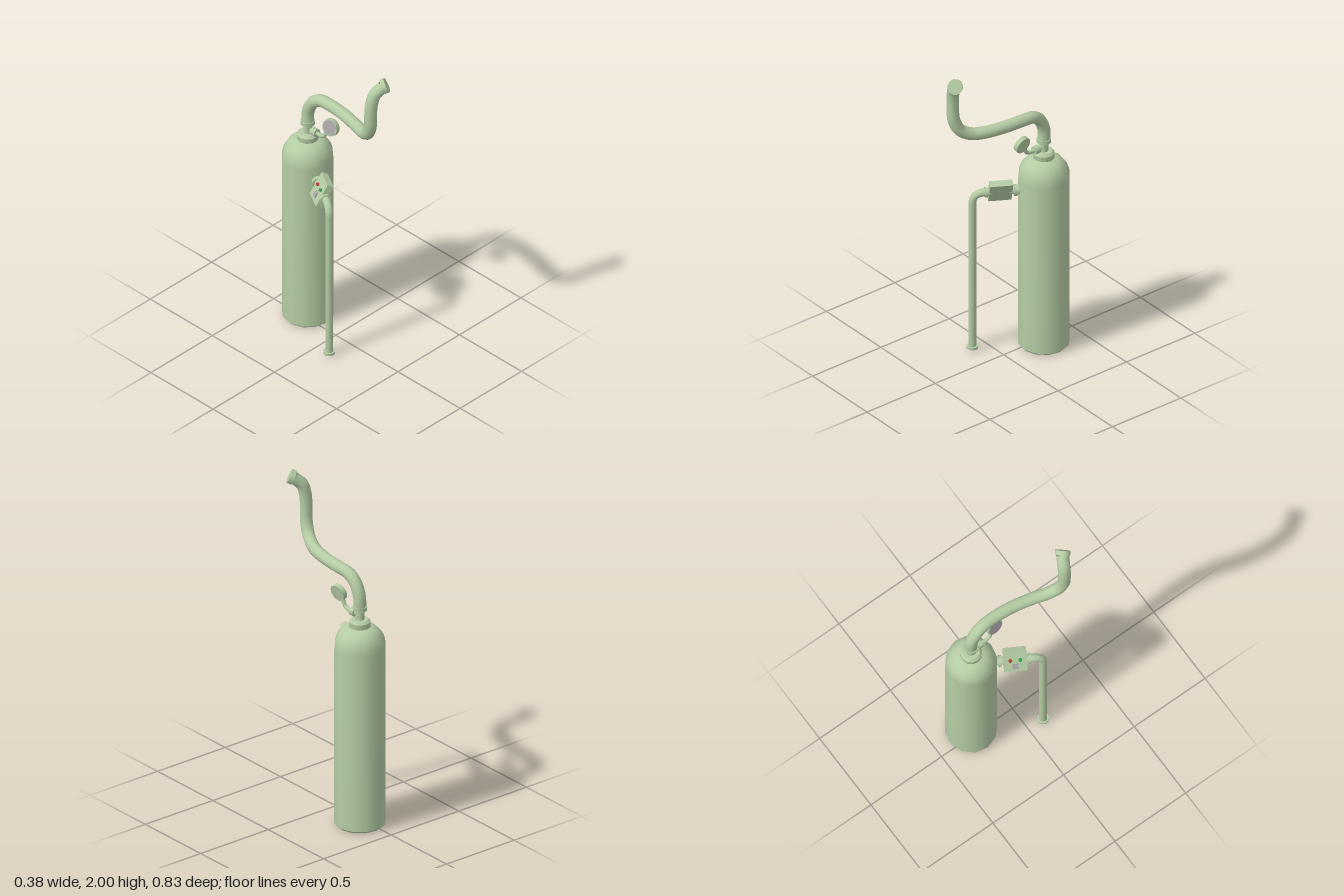
import * as THREE from 'three';
import { toCreasedNormals } from 'three/addons/utils/BufferGeometryUtils.js';

const V = (x, y, z) => new THREE.Vector3(x, y, z);
const paint = (color) => new THREE.MeshStandardMaterial({ color, side: THREE.DoubleSide });

export function createModel() {
  const root = new THREE.Group();
  const green = paint(0xb4cca4), grey = paint(0xaba3a8), red = paint(0xc8383c), lime = paint(0x2fae45);

  function add(name, geometry, material = green, parent = root) {
    const mesh = new THREE.Mesh(geometry, material);
    mesh.name = name;
    parent.add(mesh);
    return mesh;
  }
  // Turned part from [radius, height] pairs, standing at x, z
  function turned(name, pts, x, z, sides = 12) {
    const profile = pts.map(([r, y]) => new THREE.Vector2(r, y));
    const mesh = add(name, toCreasedNormals(new THREE.LatheGeometry(profile, sides), 0.65));
    mesh.position.set(x, 0, z);
    mesh.rotation.y = 0.06;
    return mesh;
  }
  // Closed cylinder centred on a point, with its axis along dir
  function disc(name, r, length, centre, dir, material = green, parent = root, sides = 12) {
    const mesh = add(name, new THREE.CylinderGeometry(r, r, length, sides), material, parent);
    mesh.position.copy(centre);
    mesh.quaternion.setFromUnitVectors(V(0, 1, 0), dir.clone().normalize());
    return mesh;
  }
  const tube = (name, curve, r, steps) => add(name, new THREE.TubeGeometry(curve, steps, r, 12));

  // Tank with domed shoulder
  const tx = 0.038, tz = -0.264;
  const tankPts = [[0, 0], [0.14, 0], [0.151, 0.012], [0.151, 1.12]];
  for (let i = 1; i <= 5; i++) {
    const a = (i / 5) * 1.2;
    tankPts.push([0.051 + 0.1 * Math.cos(a), 1.12 + 0.132 * Math.sin(a)]);
  }
  tankPts.push([0.05, 1.255], [0, 1.255]);
  turned('tank', tankPts, tx, tz);
  turned('neckCollar', [[0, 1.235], [0.056, 1.24], [0.063, 1.25], [0.063, 1.282], [0.05, 1.295], [0, 1.295]], tx, tz);
  turned('valveStem', [[0, 1.28], [0.026, 1.28], [0.026, 1.37], [0, 1.37]], tx, tz);
  turned('hoseCollar', [[0, 1.352], [0.042, 1.352], [0.042, 1.376], [0, 1.376]], tx, tz);

  // Hose: up, over to the front, up again and out to the nozzle
  const tip = V(0.022, 1.957, 0.372), tipDir = V(0.68, 0.42, 0.6).normalize();
  const hose = new THREE.CatmullRomCurve3([
    V(tx, 1.365, tz), V(tx + 0.002, 1.44, -0.262), V(0.043, 1.515, -0.228), V(0.048, 1.555, -0.175),
    V(0.05, 1.563, -0.1), V(0.04, 1.563, 0.03), V(0.012, 1.563, 0.16), V(-0.012, 1.572, 0.23),
    V(-0.035, 1.61, 0.292), V(-0.048, 1.68, 0.325), V(-0.052, 1.76, 0.331), V(-0.048, 1.84, 0.334),
    V(-0.03, 1.905, 0.342), tip.clone().addScaledVector(tipDir, -0.01),
  ]);
  tube('hose', hose, 0.037, 64);
  disc('hoseNozzle', 0.045, 0.026, tip, tipDir);

  // Pressure gauge on a bent feed pipe
  tube('gaugePipe', new THREE.CatmullRomCurve3([
    V(tx, 1.32, tz), V(tx, 1.32, -0.2), V(tx, 1.32, -0.155), V(0.04, 1.332, -0.133), V(0.046, 1.375, -0.115),
  ]), 0.012, 24);
  disc('gaugeFitting', 0.025, 0.035, V(tx, 1.32, -0.208), V(0, 0, 1));
  const gaugeDir = V(-1, 0.24, 0.1).normalize(), gaugeAt = V(0.053, 1.405, -0.092);
  disc('gaugeBody', 0.052, 0.028, gaugeAt, gaugeDir, green, root, 16);
  disc('gaugeFace', 0.046, 0.004, gaugeAt.clone().addScaledVector(gaugeDir, 0.014), gaugeDir, grey, root, 16);

  // Line running out from the tank through the control box
  const out = V(-0.5, 0, 0.866), boxAt = V(-0.077, 1.055, -0.037);
  const along = (s, y = 1.05) => V(boxAt.x + out.x * s, y, boxAt.z + out.z * s);

  // Control box leaning back, local z is the panel normal
  const box = new THREE.Group();
  box.name = 'controlBox';
  const lean = 0.47, panel = V(-0.866, 0, -0.5);
  const normal = panel.clone().multiplyScalar(Math.cos(lean)).add(V(0, Math.sin(lean), 0));
  const up = panel.clone().multiplyScalar(-Math.sin(lean)).add(V(0, Math.cos(lean), 0));
  box.quaternion.setFromRotationMatrix(new THREE.Matrix4().makeBasis(up.clone().cross(normal), up, normal));
  box.position.copy(boxAt);
  root.add(box);
  add('boxBody', new THREE.BoxGeometry(0.134, 0.154, 0.041), green, box);
  add('display', new THREE.BoxGeometry(0.034, 0.036, 0.012), grey, box).position.set(0, -0.036, 0.021);
  // The panel's local x runs along the pipe line
  const side = Math.sign(up.clone().cross(normal).dot(out));
  disc('redButton', 0.01, 0.016, V(-0.029 * side, 0.014, 0.024), V(0, 0, 1), red, box, 8);
  disc('greenButton', 0.01, 0.016, V(0.029 * side, 0.014, 0.024), V(0, 0, 1), lime, box, 8);

  disc('tankPipe', 0.023, 0.12, along(-0.11), out);
  disc('tankFlange', 0.034, 0.022, along(-0.088), out);
  disc('outletFlange', 0.031, 0.014, along(0.083), out);

  // Drop pipe with elbow, down to a foot flange
  const drop = new THREE.CurvePath();
  drop.add(new THREE.LineCurve3(along(0.05), along(0.1)));
  drop.add(new THREE.CubicBezierCurve3(along(0.1), along(0.135), along(0.162, 1.025), along(0.162, 0.985)));
  tube('dropElbow', drop, 0.023, 20);
  disc('dropPipe', 0.023, 0.973, along(0.162, 0.4985), V(0, 1, 0));
  disc('footFlange', 0.034, 0.015, along(0.162, 0.02), V(0, 1, 0));

  return root;
}
